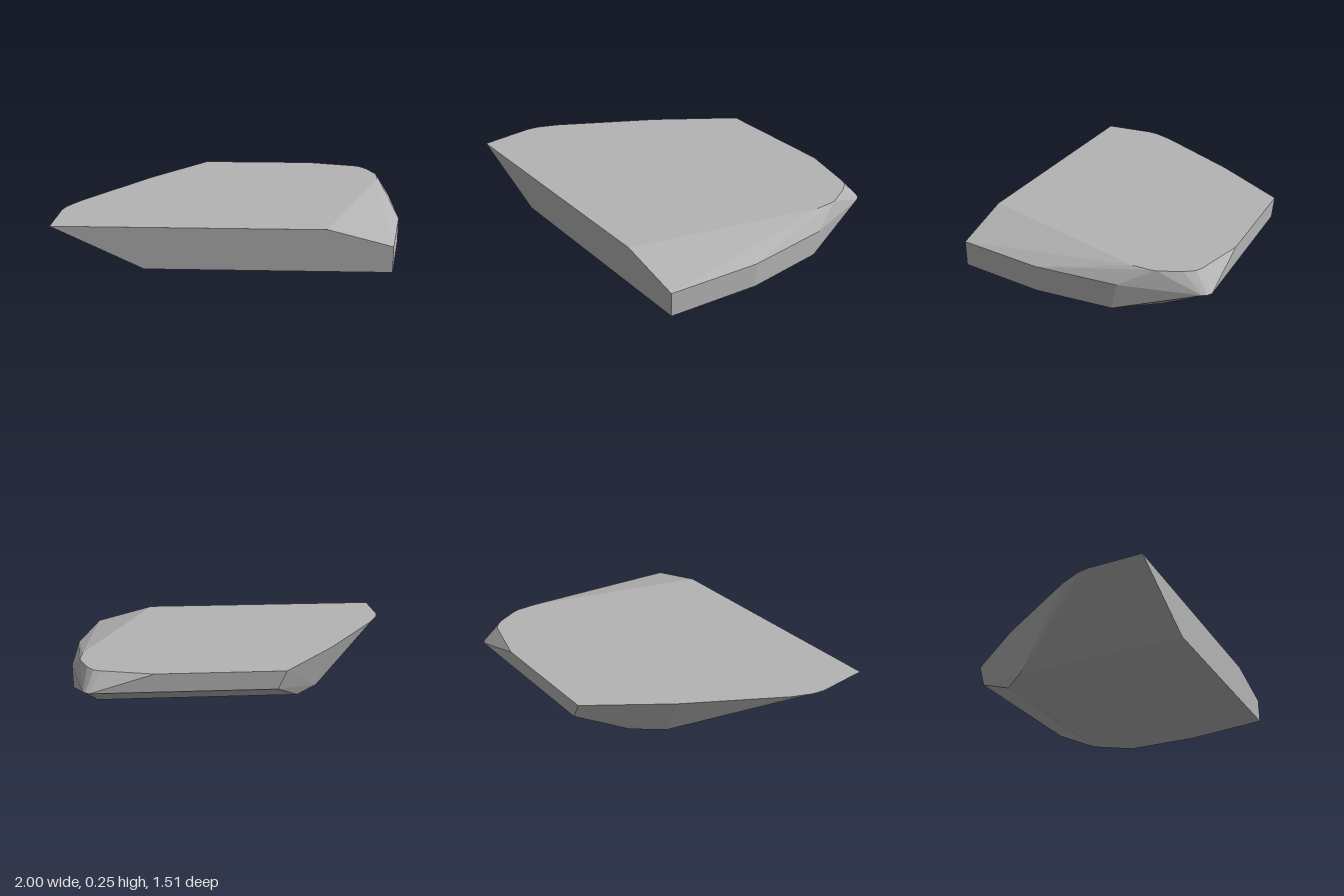
import * as THREE from 'three';
import { ConvexGeometry } from 'three/addons/geometries/ConvexGeometry.js';

const TOP = 0.245;

// Each outline is a list of [x, z] corners at one height
const level = (y, outline) => outline.map(([x, z]) => new THREE.Vector3(x, y, z));

export function createModel() {
  const stone = new THREE.MeshStandardMaterial({ color: 0xb3b3b3, flatShading: true });
  stone.name = 'grey stone';

  const corners = [
    // flat upper face
    ...level(TOP, [
      [-1, 0.755], [-1, 0.44], [-0.985, 0.37], [-0.925, 0.245], [-0.57, -0.31],
      [-0.23, -0.76], [0.5, -0.76], [0.8, -0.68], [0.84, -0.66], [0.88, -0.6],
      [0.93, -0.47], [0.933, -0.44], [0.925, -0.33], [0.54, 0.755],
    ]),
    // ridge below the chamfered side
    ...level(0.15, [[0.905, 0.755], [1, 0.23], [1, -0.27]]),
    // lower edge of the back face
    ...level(0.14, [[0.9, -0.72], [0.885, -0.745], [0.86, -0.76], [-0.18, -0.76]]),
    // flat underside
    ...level(0, [
      [-0.48, 0.755], [0.905, 0.755], [1, 0.23], [1, -0.24],
      [0.84, -0.47], [-0.33, -0.47], [-0.47, -0.3],
    ]),
  ];

  // faceted slab wrapped around the corners
  const slab = new THREE.Mesh(new ConvexGeometry(corners), stone);
  slab.name = 'rockSlab';

  const group = new THREE.Group();
  group.name = 'flatRock';
  group.add(slab);
  return group;
}
